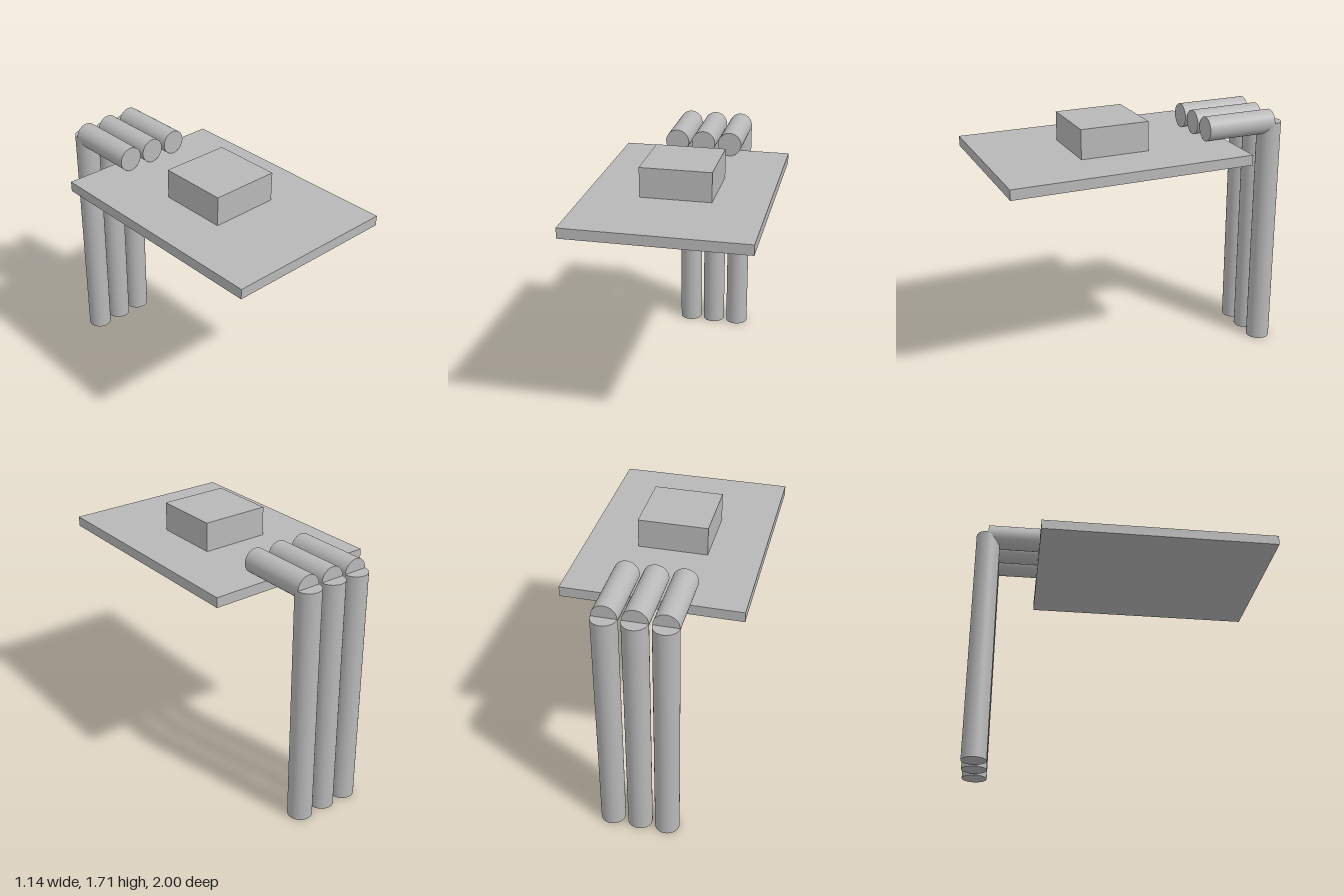
import * as THREE from 'three';

export function createModel() {
  const model = new THREE.Group();
  const grey = new THREE.MeshStandardMaterial({ color: 0xb8b8b8 });
  grey.name = 'plain grey';

  const add = (name, geometry, x, y, z) => {
    const mesh = new THREE.Mesh(geometry, grey);
    mesh.name = name;
    mesh.position.set(x, y, z);
    model.add(mesh);
    return mesh;
  };

  // Flat board with a raised block on top
  add('board', new THREE.BoxGeometry(1.14, 0.066, 1.576), 0, 1.487, 0.212);
  add('block', new THREE.BoxGeometry(0.453, 0.192, 0.453), 0, 1.616, 0.211);

  // Three upright pipes, each meeting a level pipe that rests on the board
  const radius = 0.08, bendY = 1.6, bendZ = -0.92, reach = 0.48;
  const upright = new THREE.CylinderGeometry(radius, radius, bendY, 48);
  const level = new THREE.CylinderGeometry(radius, radius, reach, 48).rotateX(Math.PI / 2);
  [-0.183, -0.002, 0.18].forEach((x, i) => {
    add(`uprightPipe${i + 1}`, upright, x, bendY / 2, bendZ);
    add(`levelPipe${i + 1}`, level, x, bendY, bendZ + reach / 2);
  });

  return model;
}
